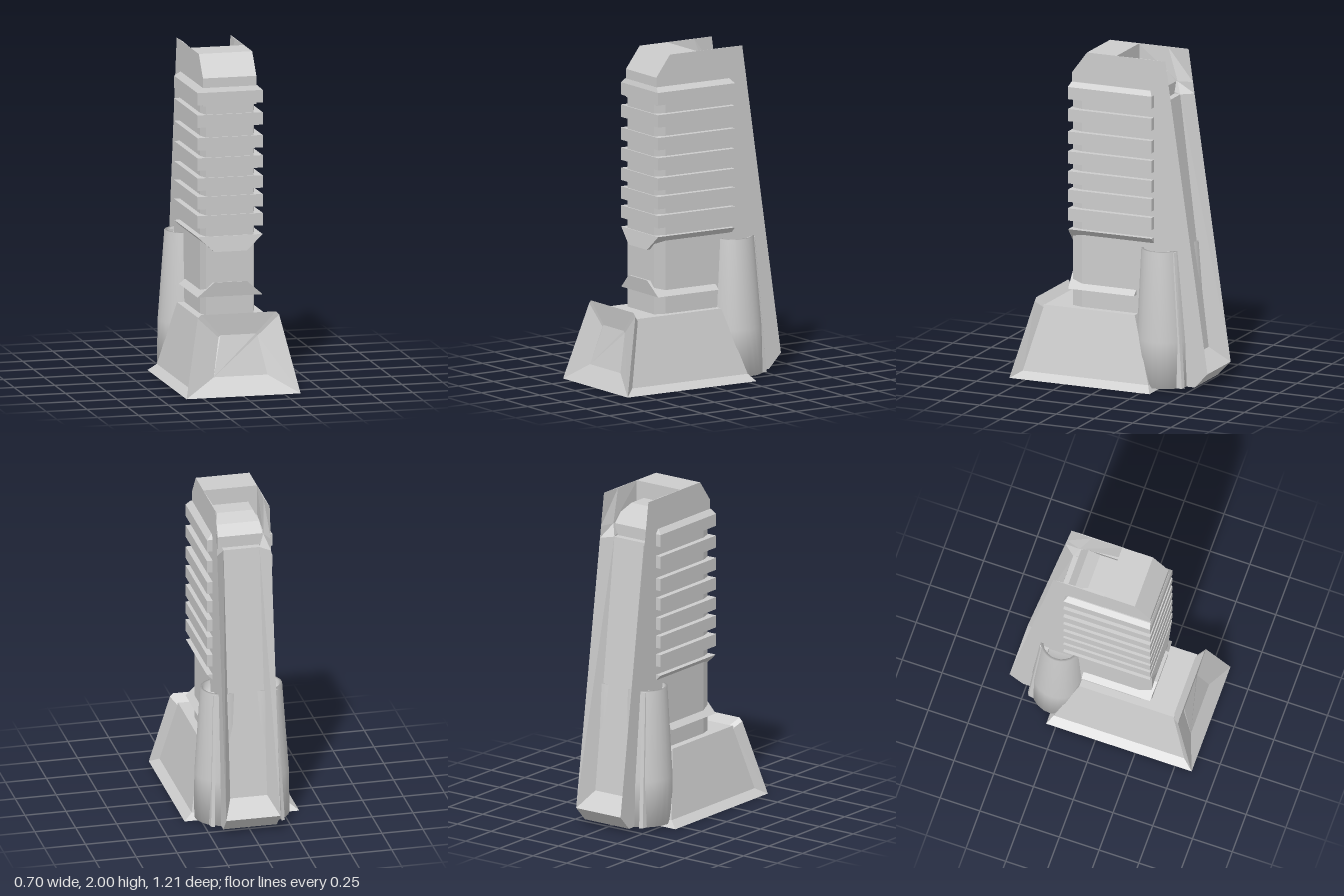
import * as THREE from 'three';
import { ConvexGeometry } from 'three/addons/geometries/ConvexGeometry.js';

const material = new THREE.MeshStandardMaterial({ color: 0xcccccc, flatShading: true, side: THREE.DoubleSide });
const smooth = new THREE.MeshStandardMaterial({ color: 0xcccccc, side: THREE.DoubleSide });

// Skin a list of equal-length rings; rings run counter-clockwise seen from the end of the loft
function loft(rings) {
  const n = rings[0].length, pos = [], index = [];
  rings.forEach(r => r.forEach(p => pos.push(...p)));
  for (let k = 0; k < rings.length - 1; k++) {
    for (let i = 0; i < n; i++) {
      const a = k * n + i, b = k * n + (i + 1) % n;
      index.push(a, b, b + n, a, b + n, a + n);
    }
  }
  const top = (rings.length - 1) * n;
  for (let i = 1; i < n - 1; i++) {
    index.push(0, i + 1, i, top, top + i, top + i + 1);
  }
  const g = new THREE.BufferGeometry();
  g.setAttribute('position', new THREE.Float32BufferAttribute(pos, 3));
  g.setIndex(index);
  const flat = g.toNonIndexed();
  flat.computeVertexNormals();
  return flat;
}

// Horizontal rectangle of half width w at height y
const level = (y, w, back, front) => [[-w, y, front], [w, y, front], [w, y, back], [-w, y, back]];

export function createModel() {
  const model = new THREE.Group();
  const add = (name, geometry, mat = material) => {
    const mesh = new THREE.Mesh(geometry, mat);
    mesh.name = name;
    model.add(mesh);
    return mesh;
  };

  // Sloping base with a flared bottom rim
  add('base', loft([
    level(0, 0.35, -0.31, 0.605),
    level(0.04, 0.30, -0.28, 0.55),
    level(0.435, 0.21, -0.15, 0.445),
  ]));

  // Flared front frame around a recessed panel, lofted forwards
  const frame = (w0, y0, z0, w1, y1, z1) => {
    const c = Math.min(0.02, w1 * 0.1);
    return [[-w0, y0, z0], [w0, y0, z0], [w1, y1 - c, z1], [w1 - c, y1, z1], [c - w1, y1, z1], [-w1, y1 - c, z1]];
  };
  add('frontFrame', loft([
    frame(0.30, 0.03, 0.54, 0.21, 0.435, 0.44),
    frame(0.35, 0, 0.605, 0.25, 0.48, 0.485),
    frame(0.165, 0.11, 0.535, 0.12, 0.35, 0.475),
  ]));

  // Tower core with chamfered front corners
  const coreRing = y => [[-0.145, y, 0.283], [0.145, y, 0.283], [0.165, y, 0.215],
    [0.165, y, -0.25], [-0.165, y, -0.25], [-0.165, y, 0.215]];
  add('core', loft([coreRing(0.4), coreRing(1.75)]));

  // Stack of slabs around the core
  [0.965, 1.08, 1.193, 1.315, 1.437, 1.575].forEach((y, i) => {
    add('slab' + (i + 1), loft([level(y, 0.2, -0.255, 0.292), level(y + 0.075, 0.2, -0.255, 0.292)]));
  });
  add('topSlab', loft([
    level(1.71, 0.2, -0.255, 0.292),
    level(1.785, 0.2, -0.255, 0.292),
    level(1.812, 0.17, -0.235, 0.282),
  ]));

  // Two collars, each with a pointed lip over the core front
  const collar = (name, yEdge, yInner, yLip, back) => {
    const points = [];
    for (const s of [-1, 1]) {
      points.push(
        new THREE.Vector3(s * 0.2, yEdge, back), new THREE.Vector3(s * 0.2, yEdge, 0.29),
        new THREE.Vector3(s * 0.168, yInner, back), new THREE.Vector3(s * 0.168, yInner, 0.22),
        new THREE.Vector3(s * 0.1, yLip, 0.304));
    }
    add(name, new ConvexGeometry(points));
  };
  collar('upperCollar', 0.912, 0.88, 0.82, -0.255);
  collar('lowerCollar', 0.547, 0.575, 0.635, -0.14);

  // Head with a sloped brow: side profile extruded across the width
  const profile = [[-0.01, 2], [-0.01, 1.7], [0.28, 1.7], [0.28, 1.87], [0.183, 2]];
  const head = new THREE.ExtrudeGeometry(
    new THREE.Shape(profile.map(([z, y]) => new THREE.Vector2(-z, y))),
    { depth: 0.328, bevelEnabled: false });
  head.rotateY(Math.PI / 2).translate(-0.164, 0, 0);
  add('head', head);

  // Stepped block behind the head, between the fins
  add('rearStep', loft([
    level(1.68, 0.135, -0.26, 0),
    level(1.8, 0.135, -0.26, 0),
    level(1.86, 0.13, -0.21, 0),
    level(1.9, 0.11, -0.13, 0),
  ]));

  // Leaning back panel with a bevelled foot
  add('backPanel', loft([
    level(0.02, 0.164, -0.52, -0.1),
    level(0.11, 0.164, -0.605, -0.1),
    level(0.2, 0.13, -0.485, -0.1),
    level(1.73, 0.13, -0.3, -0.1),
  ]));

  // Side fins tapering to a sharp rear edge
  const finRing = (y, outer, innerX, innerZ) => [[0.165, y, 0], [0.165, y, outer], [innerX, y, innerZ]];
  const fin = loft([
    finRing(0.11, -0.605, 0.11, -0.49),
    finRing(1.73, -0.369, 0.11, -0.3),
    finRing(1.8, -0.359, 0.14, -0.27),
    finRing(2, -0.33, 0.158, -0.2),
  ]);
  add('leftFin', fin);
  add('rightFin', fin).scale.x = -1;

  // Hollow tapered pipes beside the fins, leaning with height
  const pipe = new THREE.LatheGeometry(
    [[0, 0.02], [0.167, 0.02], [0.164, 0.3], [0.127, 0.845], [0.112, 0.845], [0.105, 0.78], [0, 0.78]]
      .map(([r, y]) => new THREE.Vector2(r, y)), 24).toNonIndexed();
  const p = pipe.attributes.position;
  for (let i = 0; i < p.count; i++) {
    p.setX(i, p.getX(i) + 0.12);
    p.setZ(i, p.getZ(i) - 0.308 + 0.02 * p.getY(i));
  }
  // Narrow rib along the back of each pipe
  const rib = loft([
    [[0.2, 0.02, -0.4], [0.235, 0.02, -0.4], [0.225, 0.02, -0.465], [0.205, 0.02, -0.475]],
    [[0.18, 0.84, -0.35], [0.2, 0.84, -0.35], [0.195, 0.84, -0.4], [0.18, 0.84, -0.41]],
  ]);
  for (const [side, s] of [['left', 1], ['right', -1]]) {
    add(side + 'Pipe', pipe, smooth).scale.x = s;
    add(side + 'PipeRib', rib).scale.x = s;
  }
  return model;
}
